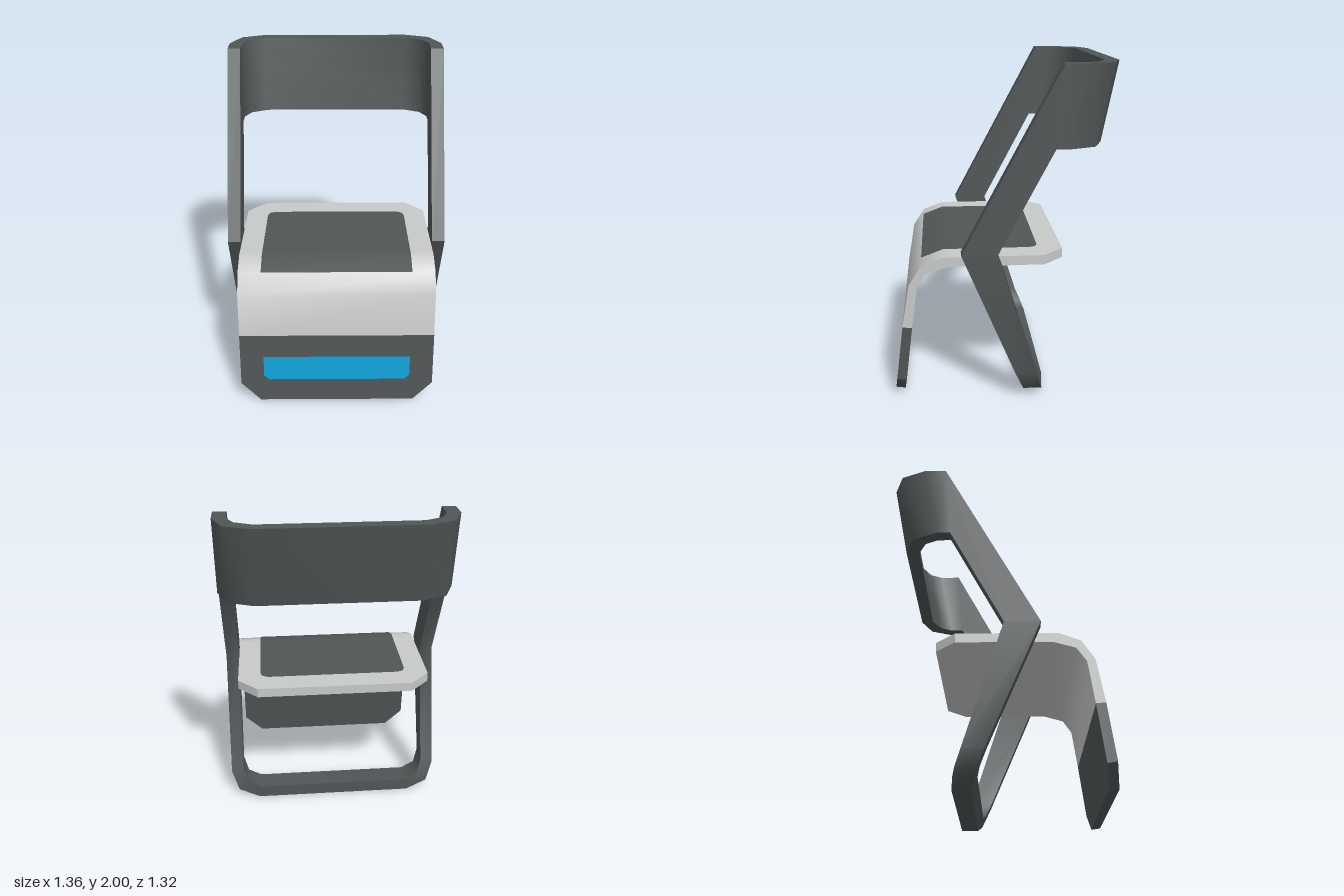
import * as THREE from 'three';
import { mergeGeometries, toCreasedNormals } from 'three/addons/utils/BufferGeometryUtils.js';

// Skin rows of points; a closed row is a ring with optional end caps.
function skin(rows, closed = false, caps = false) {
  const pos = [];
  const quad = (a, b, c, d) => pos.push(...a, ...b, ...c, ...a, ...c, ...d);
  const n = rows[0].length;
  for (let i = 0; i + 1 < rows.length; i++) {
    const p = rows[i], q = rows[i + 1];
    for (let j = 0; j < (closed ? n : n - 1); j++) {
      const k = (j + 1) % n;
      quad(p[j], p[k], q[k], q[j]);
    }
  }
  if (caps) {
    const [a, b, c, d] = rows[0];
    quad(a, d, c, b);
    quad(...rows[rows.length - 1]);
  }
  const g = new THREE.BufferGeometry();
  g.setAttribute('position', new THREE.Float32BufferAttribute(pos, 3));
  g.computeVertexNormals();
  return g;
}

// Half a list of stations mirrored to the other side; s is the sign of x.
const mirrored = (half, ring) => [
  ...half.map((h) => ring(h, 1)),
  ...half.slice().reverse().map((h) => ring(h, -1)),
];

export function createModel() {
  const group = new THREE.Group();
  const material = (name, color) => {
    const m = new THREE.MeshStandardMaterial({ color });
    m.name = name;
    return m;
  };
  const dark = material('darkGrey', 0x505556);
  const light = material('lightGrey', 0xc8cac9);
  const blue = material('blue', 0x0fa0d8);
  const add = (name, geometry, mat, crease = 0.7) => {
    const mesh = new THREE.Mesh(toCreasedNormals(geometry, crease), mat);
    mesh.name = name;
    group.add(mesh);
  };

  // Legs and floor bar: [outer x, outer y, inner x, inner y, rear z]
  const frontZ = (y) => -0.14 + (0.39 * y) / 0.93;
  const legs = skin(mirrored([
    [0.68, 0.93, 0.6, 0.93, 0.04],
    [0.68, 0.18, 0.6, 0.2, -0.19],
    [0.635, 0.055, 0.57, 0.115, -0.228],
    [0.5, 0, 0.485, 0.08, -0.245],
  ], ([ox, oy, ix, iy, rz], s) => [
    [s * ox, oy, frontZ(oy)], [s * ix, iy, frontZ(iy)], [s * ix, iy, rz], [s * ox, oy, rz],
  ]), true);

  // Slanted arms, cut from the side profile (z, y)
  const armShape = new THREE.Shape([
    [0.25, 0.93], [0.04, 0.93], [-0.28, 1.535], [-0.36, 1.535], [-0.45, 2], [-0.32, 2],
  ].map(([z, y]) => new THREE.Vector2(z, y)));
  const arms = [0.68, -0.6].map((x) => {
    let g = new THREE.ExtrudeGeometry(armShape, { depth: 0.08, bevelEnabled: false });
    if (g.index) g = g.toNonIndexed();
    g.deleteAttribute('uv');
    return g.rotateY(-Math.PI / 2).translate(x, 0, 0);
  });

  // Wrap-around backrest: [outer x, outer z, inner x, inner z] at the top edge
  const low = 1.535;
  const lean = (y) => ((2 - y) * 0.09) / (2 - low);
  const back = skin(mirrored([
    [0.68, -0.45, 0.6, -0.45],
    [0.615, -0.6, 0.56, -0.53],
    [0.468, -0.66, 0.458, -0.58],
  ], ([ox, oz, ix, iz], s) => [
    [s * ox, 2, oz], [s * ox, low, oz + lean(low)], [s * ix, low, iz + lean(low)], [s * ix, 2, iz],
  ]), true);
  add('frame', mergeGeometries([legs, ...arms, back]), dark, 0.85);

  // Thin band on the inside of the backrest
  add('backrestBand', skin(mirrored(
    [[0.577, -0.488], [0.557, -0.526], [0.457, -0.576]],
    ([x, z], s) => [1.685, 1.855].map((y) => [s * x, y, z + lean(y)]),
  )), dark, 0.85);

  // Bent seat sheet: [half width, top z, top y, underside z, underside y]
  const slab = ([w, tz, ty, uz, uy]) => [[w, ty, tz], [-w, ty, tz], [-w, uy, uz], [w, uy, uz]];
  const split = [0.6, 0.6, 0.465, 0.543, 0.46];
  add('seat', skin([
    [0.48, -0.36, 0.895, -0.36, 0.838],
    [0.6, -0.24, 0.895, -0.24, 0.838],
    [0.6, 0.3, 0.895, 0.28, 0.838],
    [0.6, 0.35, 0.895, 0.317, 0.838],
    [0.6, 0.48, 0.845, 0.45, 0.8],
    [0.6, 0.555, 0.73, 0.508, 0.714],
    split,
  ].map(slab), true, true), light);
  add('frontPanel', skin([
    split,
    [0.6, 0.642, 0.13, 0.585, 0.12],
    [0.48, 0.657, 0.01, 0.6, 0.002],
  ].map(slab), true, true), dark);

  // Thin seat pad following the bend: [half width, z, y]
  const strip = ([w, z, y]) => [[w, y, z], [-w, y, z]];
  add('seatPad', skin([
    [0.41, -0.215, 0.899],
    [0.445, -0.2, 0.899],
    [0.46, -0.165, 0.899],
    [0.46, 0.3, 0.899],
    [0.46, 0.351, 0.899],
    [0.46, 0.482, 0.849],
  ].map(strip)), dark);

  // Blue plate on the front panel: [half width, y]
  add('frontPlate', skin([[0.455, 0.32], [0.455, 0.19], [0.425, 0.16]].map(
    ([w, y]) => strip([w, 0.604 + (0.465 - y) * 0.126, y]),
  )), blue);

  return group;
}
